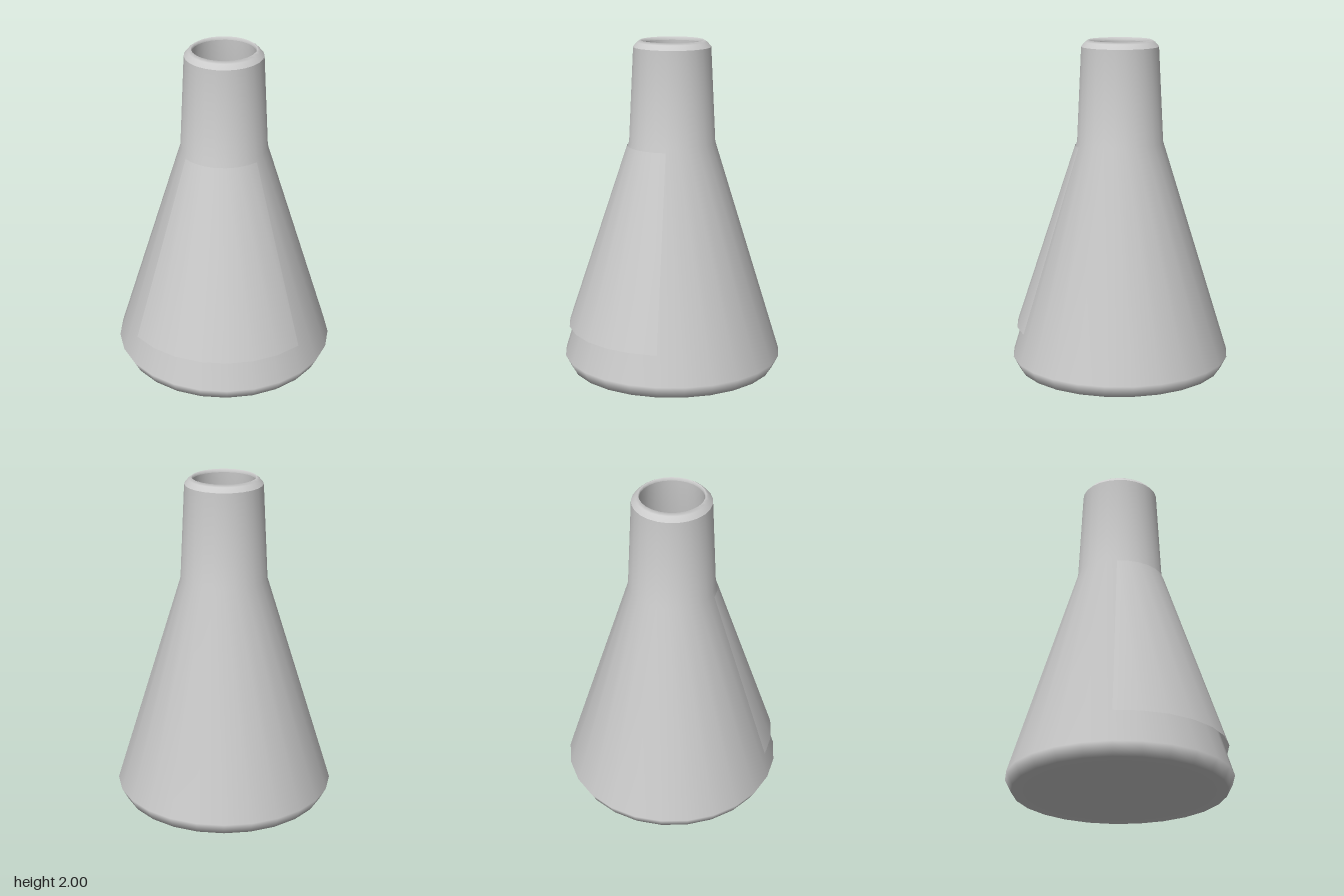
import * as THREE from 'three';

const SIDES = 25;
const STEP = (Math.PI * 2) / SIDES;
const START = -Math.PI / 2;

// Lathe a profile of [radius, height] pairs over a number of sides
function turned(name, profile, { first = 0, sides = SIDES, side = THREE.FrontSide } = {}) {
  const points = profile.map(([r, y]) => new THREE.Vector2(r, y));
  const geometry = new THREE.LatheGeometry(points, sides, START + first * STEP, sides * STEP);
  const mesh = new THREE.Mesh(geometry, new THREE.MeshStandardMaterial({ color: 0xcccccc, side }));
  mesh.name = name;
  return mesh;
}

export function createModel() {
  const flask = new THREE.Group();
  flask.name = 'flask';

  // Flat base, bevelled foot, conical body and tapering neck
  flask.add(turned('outerWall', [
    [0, 0], [0.625, 0], [0.664, 0.075], [0.26, 1.39], [0.232, 1.96],
  ]));

  // Chamfered lip around the mouth
  flask.add(turned('rim', [
    [0.232, 1.96], [0.208, 1.988], [0.19, 2.0], [0.187, 1.98],
  ]));

  // Hollow inside, running from the mouth down to the floor
  flask.add(turned('innerWall', [
    [0.187, 1.98], [0.22, 1.39], [0.615, 0.09], [0.58, 0.04], [0, 0.04],
  ]));

  // Label on seven sides of the body, standing off at its lower edge
  flask.add(turned('label', [[0.638, 0.26], [0.271, 1.37]], {
    first: 6, sides: 7, side: THREE.DoubleSide,
  }));

  return flask;
}
